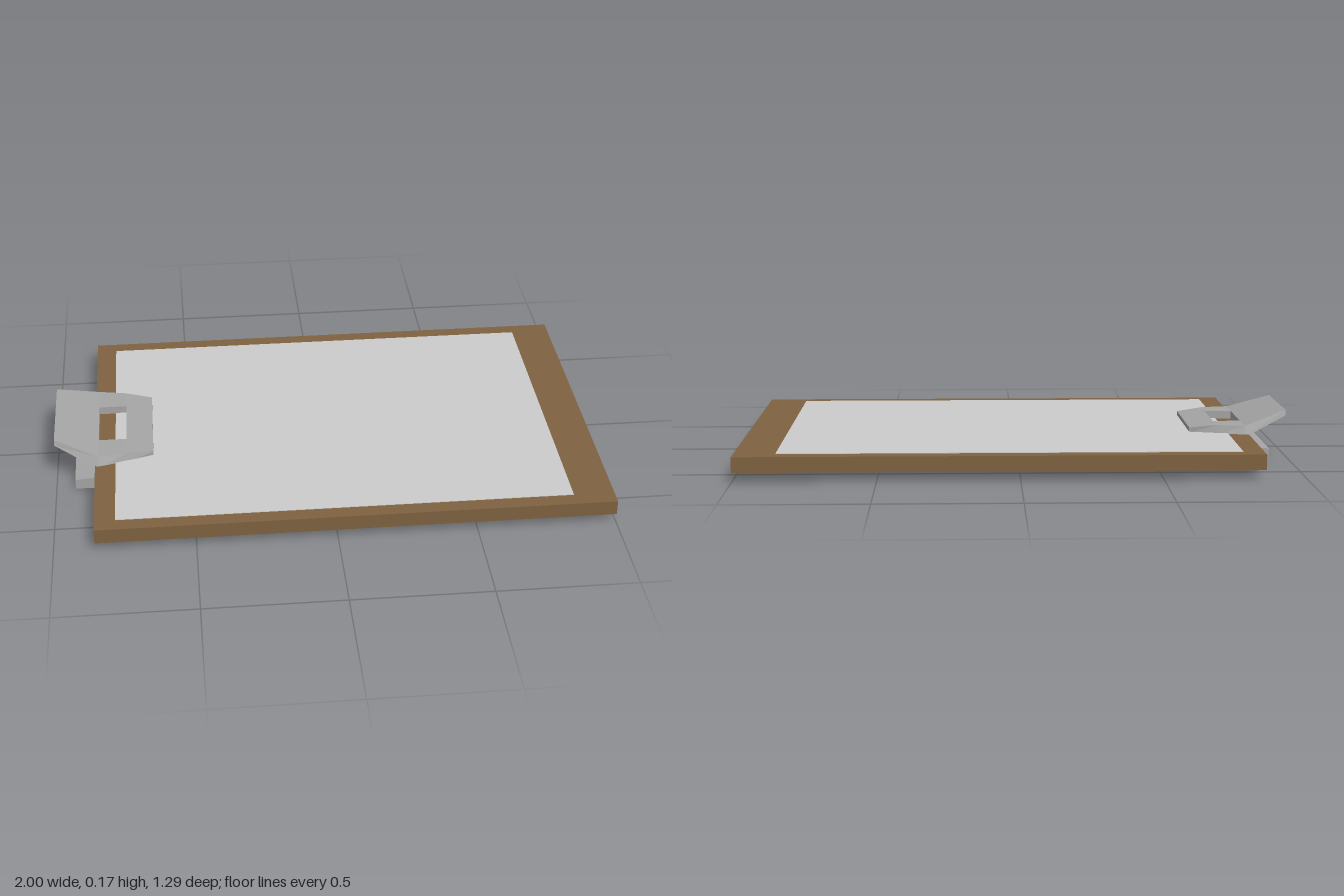
import * as THREE from 'three';

const material = (color) => new THREE.MeshStandardMaterial({ color, flatShading: true });

function addMesh(group, name, geometry, mat) {
  const mesh = new THREE.Mesh(geometry, mat);
  mesh.name = name;
  group.add(mesh);
  return mesh;
}

// Bent clip plate: sections along x, four columns across z, open middle cell
function clipGeometry() {
  // x, top y, bottom y, top half width, bottom half width
  const sections = [
    [-1, 0.172, 0.152, 0.18, 0.186],
    [-0.84, 0.12, 0.08, 0.23, 0.25],
    [-0.738, 0.12, 0.085, 0.21, 0.22],
    [-0.64, 0.108, 0.088, 0.19, 0.19],
  ];
  const hole = 0.115;
  const point = (i, j, top) => {
    const [x, yTop, yBottom, wTop, wBottom] = sections[i];
    const w = top ? wTop : wBottom;
    return [x, top ? yTop : yBottom, [-w, -hole, hole, w][j]];
  };
  const positions = [];
  const quad = (a, b, c, d) => positions.push(...a, ...b, ...c, ...a, ...c, ...d);
  const wall = ([i, j], [k, l]) =>
    quad(point(i, j, false), point(k, l, false), point(k, l, true), point(i, j, true));

  // Upper and lower faces
  for (let i = 0; i < 3; i++) {
    for (let j = 0; j < 3; j++) {
      if (i === 1 && j === 1) continue;
      const corners = [[i, j], [i, j + 1], [i + 1, j + 1], [i + 1, j]];
      quad(...corners.map(([a, b]) => point(a, b, true)));
      quad(...corners.reverse().map(([a, b]) => point(a, b, false)));
    }
  }
  // Outer rim
  for (let n = 0; n < 3; n++) {
    wall([n, 3], [n + 1, 3]);
    wall([n + 1, 0], [n, 0]);
    wall([3, n + 1], [3, n]);
    wall([0, n], [0, n + 1]);
  }
  // Walls of the slot
  const slot = [[1, 1], [2, 1], [2, 2], [1, 2]];
  slot.forEach((p, n) => wall(p, slot[(n + 1) % 4]));

  const geometry = new THREE.BufferGeometry();
  geometry.setAttribute('position', new THREE.Float32BufferAttribute(positions, 3));
  geometry.computeVertexNormals();
  return geometry;
}

export function createModel() {
  const group = new THREE.Group();
  group.name = 'clipboard';
  const wood = material(0x7e6241);
  const metal = material(0xa5a5a5);
  const paper = material(0xcccccc);

  // Wooden board
  addMesh(group, 'board', new THREE.BoxGeometry(1.855, 0.055, 1.29), wood)
    .position.set(0.0725, 0.0625, 0);

  // Sheet of paper lying on the board
  addMesh(group, 'paper', new THREE.BoxGeometry(1.632, 0.003, 1.18), paper)
    .position.set(0.036, 0.0905, 0);

  // Upper jaw of the clip
  addMesh(group, 'upperClip', clipGeometry(), metal);

  // Lower jaw, slightly raised toward the board edge
  const profile = new THREE.Shape([
    new THREE.Vector2(-0.93, 0),
    new THREE.Vector2(-0.64, 0),
    new THREE.Vector2(-0.64, 0.037),
    new THREE.Vector2(-0.85, 0.046),
    new THREE.Vector2(-0.93, 0.038),
  ]);
  const lower = new THREE.ExtrudeGeometry(profile, { depth: 0.5, bevelEnabled: false });
  lower.translate(0, 0, -0.25);
  addMesh(group, 'lowerClip', lower, metal);

  return group;
}
